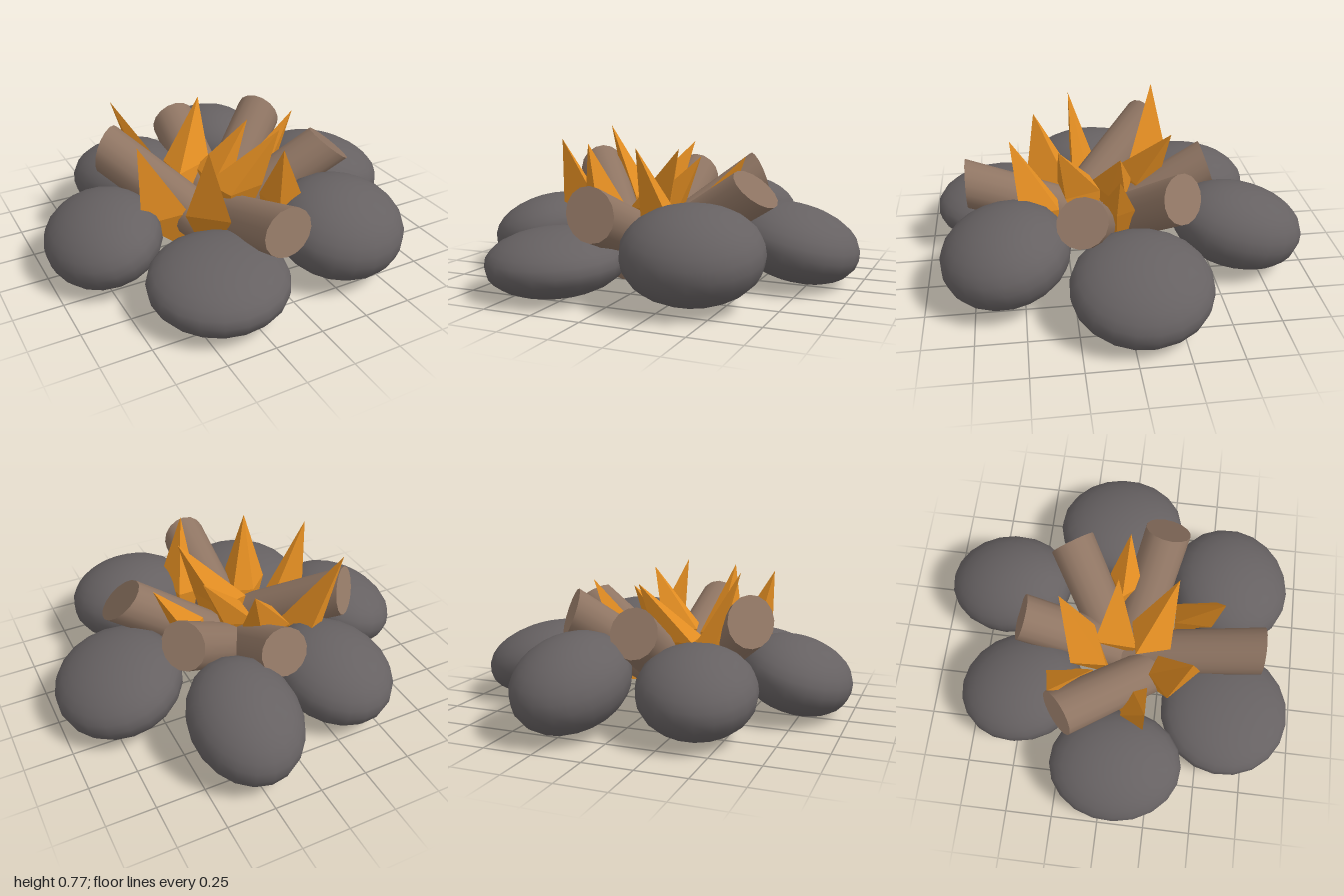
import * as THREE from 'three';

const mat = (name, color, extra = {}) => {
  const m = new THREE.MeshStandardMaterial({ color, ...extra });
  m.name = name;
  return m;
};

export function createModel() {
  const model = new THREE.Group();
  model.name = 'campfire';
  const stone = mat('stone grey', 0x666162);
  const bark = mat('bark brown', 0x8f7563);
  const fire = mat('flame orange', 0xe28d22, { flatShading: true });

  const add = (name, geometry, material) => {
    const mesh = new THREE.Mesh(geometry, material);
    mesh.name = name;
    model.add(mesh);
    return mesh;
  };

  // Stone: squashed sphere with slightly full sides, normals kept smooth
  const stoneGeometry = new THREE.SphereGeometry(1, 20, 14);
  const p = stoneGeometry.attributes.position;
  const n = stoneGeometry.attributes.normal;
  for (let i = 0; i < p.count; i++) {
    const y = p.getY(i);
    p.setY(i, Math.sign(y) * Math.abs(y) ** 0.9);
    const v = new THREE.Vector3().fromBufferAttribute(p, i).normalize();
    n.setXYZ(i, v.x, v.y, v.z);
  }

  // Ring of stones, inner edge lifted: centre, tangential / vertical / radial radius, tilt, yaw
  const stones = [
    [-0.355, 0.235, -0.485, 0.295, 0.195, 0.34, 0.2, Math.atan2(-0.14, -0.47)],
    [0.23, 0.26, -0.635, 0.28, 0.212, 0.35, 0.25, Math.atan2(0.03, -0.63)],
    [0.672, 0.222, -0.06, 0.352, 0.19, 0.335, 0.25, Math.PI / 2 + 0.1],
    [0.36, 0.26, 0.585, 0.34, 0.217, 0.33, 0.2, 0.3],
    [-0.345, 0.17, 0.62, 0.347, 0.16, 0.347, 0.06, -0.4],
    [-0.715, 0.217, 0.065, 0.35, 0.188, 0.295, 0.28, -Math.PI / 2 + 0.08],
  ];
  for (const [x, y, z, rx, ry, rz, tilt, yaw] of stones) {
    const rock = add('stone', stoneGeometry, stone);
    rock.position.set(x, y, z);
    rock.scale.set(rx, ry, rz);
    rock.rotation.set(tilt, yaw, 0, 'YXZ');
  }

  // Logs leaning from the middle out over the stones: outer end, inner end, slant of the outer cut
  const logs = [
    [[-0.065, 0.44, 0.775], [-0.065, 0.14, -0.02], 0.38],
    [[-0.045, 0.49, -0.515], [-0.05, 0.18, 0.0], 0.22],
    [[0.4, 0.53, -0.3], [-0.04, 0.17, 0.0], 0.25],
    [[0.54, 0.52, 0.21], [-0.02, 0.16, 0.07], -0.35],
    [[-0.55, 0.535, -0.25], [-0.08, 0.115, 0.3], 0.35],
  ];
  for (const [outer, inner, slant] of logs) {
    const a = new THREE.Vector3(...inner);
    const dir = new THREE.Vector3(...outer).sub(a);
    const length = dir.length();
    const g = new THREE.CylinderGeometry(0.125, 0.12, length, 16).rotateX(Math.PI / 2);
    const q = g.attributes.position;
    for (let i = 0; i < q.count; i++) {
      if (q.getZ(i) > 0) q.setZ(i, length / 2 + slant * q.getY(i));
    }
    const log = add('log', g, bark);
    log.position.copy(a).addScaledVector(dir, 0.5);
    log.rotation.set(-Math.asin(dir.y / length), Math.atan2(dir.x, dir.z), 0, 'YXZ');
  }

  // Flame: spike with a narrow foot, a four-cornered belly and a sharp leaning tip
  const flameGeometry = (foot, tip, bellyY, corners) => {
    const cx = corners.reduce((s, c) => s + c[0], 0) / 4;
    const cz = corners.reduce((s, c) => s + c[1], 0) / 4;
    const mid = corners.map(([x, z]) => [x, bellyY, z]);
    const low = corners.map(([x, z]) => [foot[0] + 0.3 * (x - cx), foot[1], foot[2] + 0.3 * (z - cz)]);
    const pts = [];
    for (let k = 0; k < 4; k++) {
      const j = (k + 1) % 4;
      pts.push(low[k], mid[k], mid[j], low[k], mid[j], low[j]);
      pts.push(mid[k], tip, mid[j]);
      pts.push(foot, low[k], low[j]);
    }
    const g = new THREE.BufferGeometry();
    g.setAttribute('position', new THREE.Float32BufferAttribute(pts.flat(), 3));
    g.computeVertexNormals();
    return g;
  };

  // foot, tip, belly height, belly corners (x, z) running clockwise seen from above
  const flames = [
    [[-0.22, 0.1, -0.16], [-0.505, 0.78, -0.285], 0.36,
      [[-0.37, -0.31], [-0.26, -0.36], [-0.25, -0.11], [-0.37, -0.2]]],
    [[-0.3, 0.1, 0.1], [-0.555, 0.73, 0.19], 0.3,
      [[-0.47, 0.04], [-0.3, 0.1], [-0.29, 0.19], [-0.55, 0.19]]],
    [[-0.18, 0.07, 0.2], [-0.28, 0.73, 0.4], 0.36,
      [[-0.36, 0.3], [-0.24, 0.19], [-0.13, 0.23], [-0.19, 0.46]]],
    [[-0.14, 0.1, -0.06], [0.015, 0.7, -0.31], 0.4,
      [[-0.24, -0.23], [-0.06, -0.26], [-0.01, -0.13], [-0.23, -0.04]]],
    [[-0.05, 0.1, 0.0], [0.165, 0.645, -0.02], 0.38,
      [[-0.1, -0.12], [0.06, -0.06], [0.06, 0.03], [-0.11, 0.11]]],
    [[0.0, 0.08, 0.12], [0.17, 0.71, 0.295], 0.4,
      [[-0.15, 0.11], [0.03, 0.07], [0.1, 0.26], [-0.1, 0.29]]],
    [[0.17, 0.12, 0.0], [0.425, 0.66, 0.015], 0.42,
      [[0.16, 0.0], [0.29, -0.08], [0.34, 0.02], [0.24, 0.1]]],
    [[0.14, 0.04, 0.34], [0.05, 0.73, 0.535], 0.38,
      [[0.06, 0.3], [0.17, 0.3], [0.21, 0.5], [0.06, 0.5]]],
  ];
  for (const f of flames) add('flame', flameGeometry(...f), fire);

  return model;
}
